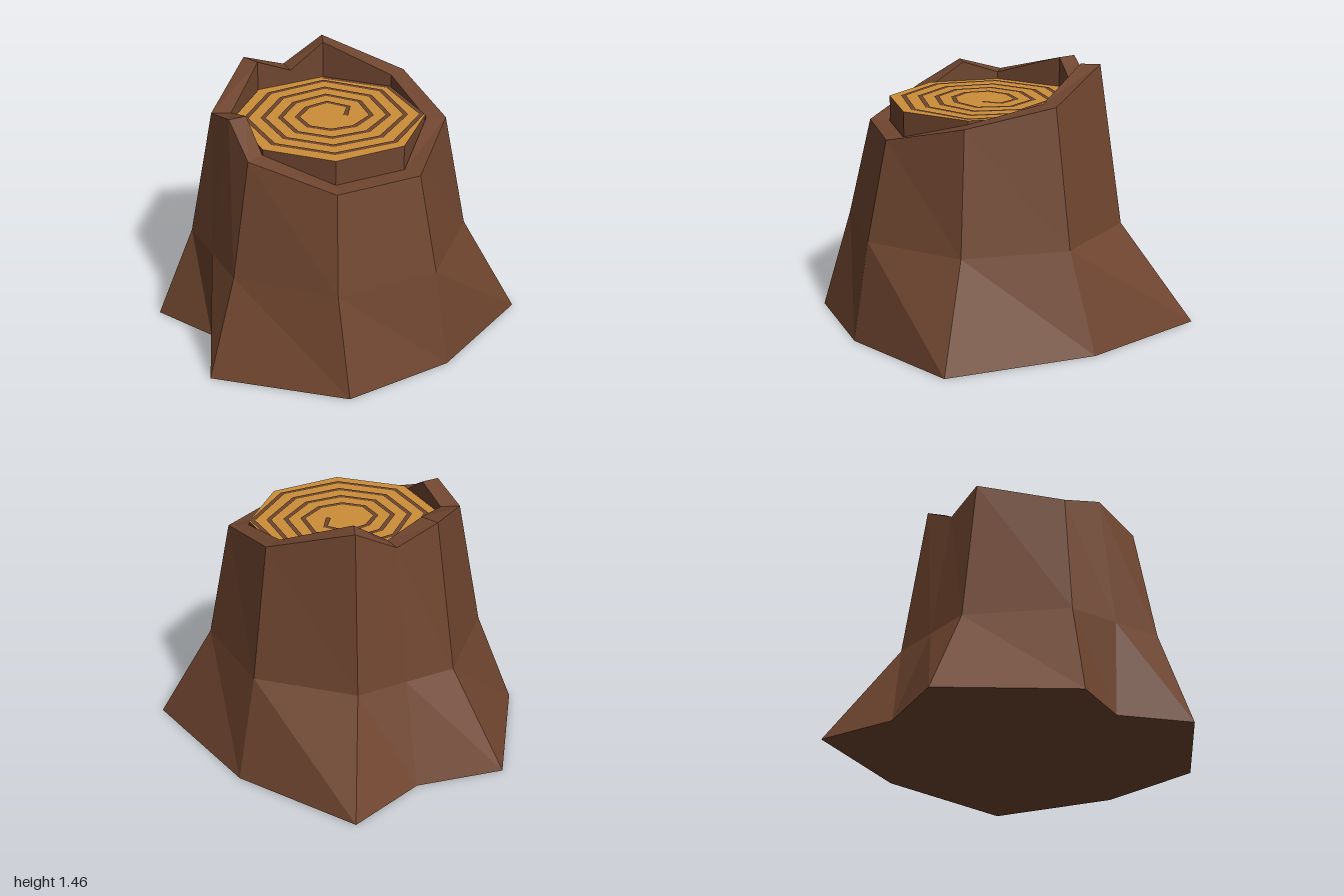
import * as THREE from 'three';

const CX = 0.12, CZ = -0.01, CORE_TOP = 1.24;

// Each station round the trunk: angle, base x, base z, rim height
const STATIONS = [
  [0, 1.0, -0.01, 1.1],
  [45, 0.82, 0.61, 1.1],
  [90, 0.12, 0.97, 1.21],
  [112.5, -0.18, 0.66, 1.35],
  [135, -0.575, 0.69, 1.28],
  [180, -1.0, 0.02, 1.41],
  [202.5, -0.72, -0.4, 1.32],
  [225, -0.69, -0.89, 1.455],
  [270, 0.085, -0.97, 1.31],
  [315, 0.915, -0.75, 1.22],
];

// Point on an octagon of the given corner radius; half stations lie mid-edge
function octagonPoint(deg, radius, y) {
  const r = deg % 45 ? radius * Math.cos(Math.PI / 8) : radius;
  const a = THREE.MathUtils.degToRad(deg);
  return [CX + r * Math.cos(a), y, CZ + r * Math.sin(a)];
}

// Skin consecutive closed rings with flat quads
function loft(rings) {
  const pos = [];
  for (let k = 0; k < rings.length - 1; k++) {
    const lo = rings[k], hi = rings[k + 1], n = lo.length;
    for (let i = 0; i < n; i++) {
      const j = (i + 1) % n;
      pos.push(...lo[i], ...hi[i], ...hi[j], ...lo[i], ...hi[j], ...lo[j]);
    }
  }
  return toGeometry(pos);
}

function toGeometry(pos) {
  const g = new THREE.BufferGeometry();
  g.setAttribute('position', new THREE.Float32BufferAttribute(pos, 3));
  g.computeVertexNormals();
  return g;
}

// Growth ring: a flat eight-sided spiral band
function spiralGeometry(y) {
  const radii = [0.26, 0.28, 0.26, 0.27, 0.265, 0.265, 0.28, 0.33];
  const path = [[0.18, -0.08]];
  for (let i = 0; i <= 33; i++) {
    const r = Math.min(0.515, radii[i % 8] + 0.095 * (Math.floor(i / 8) - 1));
    const a = -Math.PI / 2 - (i * Math.PI) / 4;
    path.push([CX + r * Math.cos(a), CZ + r * Math.sin(a)]);
  }
  const half = 0.014;
  const edges = path.map(([x, z], i) => {
    const p = path[Math.max(0, i - 1)], q = path[Math.min(path.length - 1, i + 1)];
    const dx = q[0] - p[0], dz = q[1] - p[1], l = Math.hypot(dx, dz);
    const nx = (-dz / l) * half, nz = (dx / l) * half;
    return [[x + nx, y, z + nz], [x - nx, y, z - nz]];
  });
  const pos = [];
  for (let i = 0; i < edges.length - 1; i++) {
    const [a, b] = edges[i], [c, d] = edges[i + 1];
    pos.push(...a, ...c, ...d, ...a, ...d, ...b);
  }
  return toGeometry(pos);
}

export function createModel() {
  const group = new THREE.Group();
  group.name = 'treeStump';

  const bark = new THREE.MeshStandardMaterial({ color: 0x6f452f, flatShading: true });
  bark.name = 'bark';
  const wood = new THREE.MeshStandardMaterial({ color: 0xcb8e37, flatShading: true });
  wood.name = 'cutWood';

  const add = (name, geometry, material) => {
    const mesh = new THREE.Mesh(geometry, material);
    mesh.name = name;
    group.add(mesh);
    return mesh;
  };

  // Bark shell: root flare, trunk, jagged rim and inner wall
  const base = STATIONS.map(([, x, z]) => [x, 0, z]);
  const ring = (radius, height) =>
    STATIONS.map(([deg, , , rim]) => octagonPoint(deg, radius, height ?? rim));
  add('barkShell', loft([base, ring(0.78, 0.55), ring(0.65), ring(0.54), ring(0.54, 1.0)]), bark);

  // Underside
  const under = [];
  base.forEach((p, i) => under.push(CX, 0, CZ, ...p, ...base[(i + 1) % base.length]));
  add('underside', toGeometry(under), bark);

  // Core with the cut face on top
  const core = add('core', new THREE.CylinderGeometry(0.535, 0.535, 0.24, 8), [bark, wood, bark]);
  core.position.set(CX, CORE_TOP - 0.12, CZ);

  // Growth rings painted on the cut face
  const rings = add('growthRings', spiralGeometry(CORE_TOP + 0.004), bark);
  // Flip the band if its faces point down
  if (rings.geometry.attributes.normal.getY(0) < 0) {
    const p = rings.geometry.attributes.position.array;
    for (let i = 0; i < p.length; i += 9) {
      for (let k = 0; k < 3; k++) [p[i + 3 + k], p[i + 6 + k]] = [p[i + 6 + k], p[i + 3 + k]];
    }
    rings.geometry.computeVertexNormals();
  }

  return group;
}
